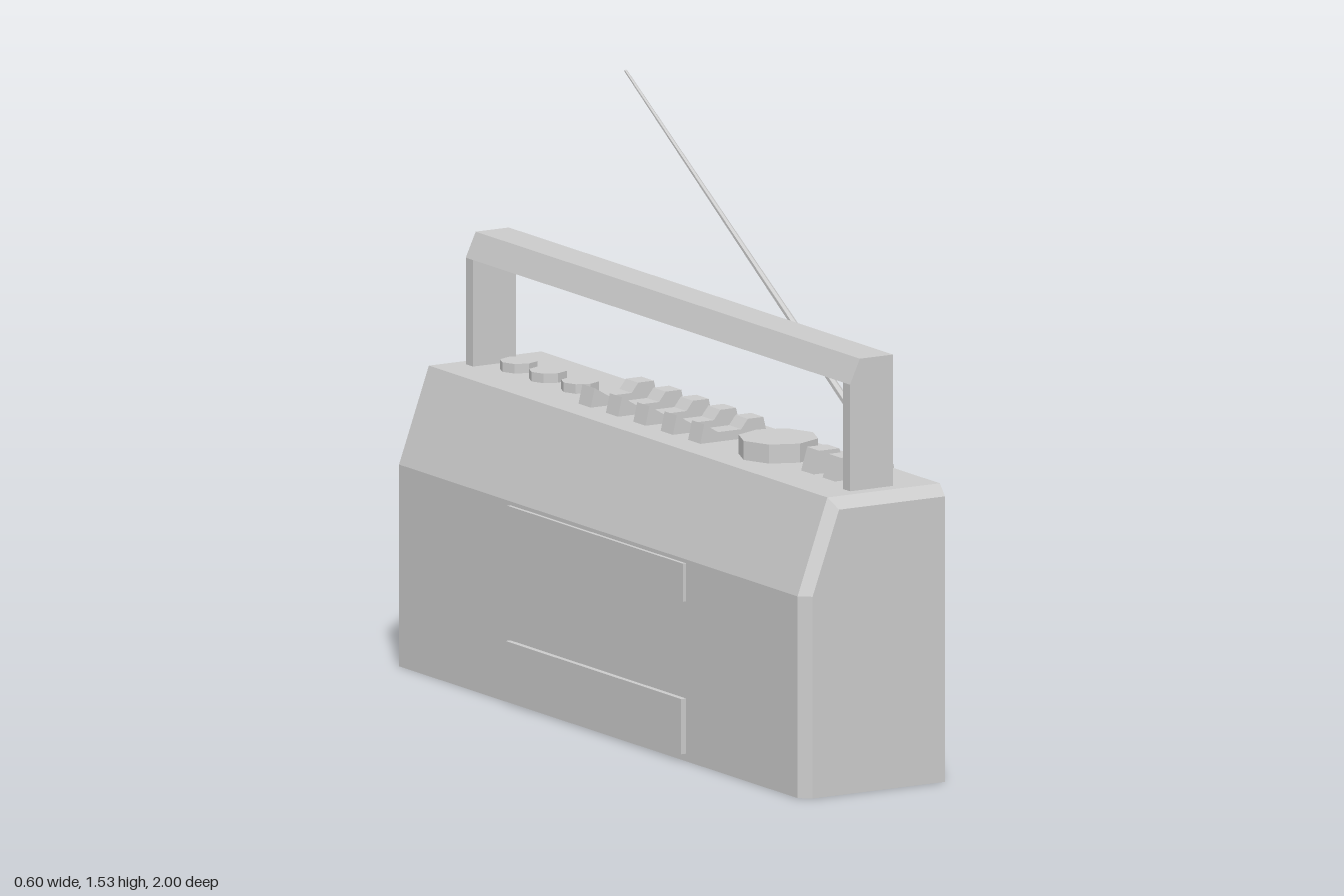
import * as THREE from 'three';
import { ConvexGeometry } from 'three/addons/geometries/ConvexGeometry.js';

const material = new THREE.MeshStandardMaterial({ color: 0xcccccc, flatShading: true });

export function createModel() {
  const radio = new THREE.Group();
  radio.name = 'portableRadio';

  const add = (name, geometry, parent = radio) => {
    const mesh = new THREE.Mesh(geometry, material);
    mesh.name = name;
    parent.add(mesh);
    return mesh;
  };
  const toShape = (points) => new THREE.Shape(points.map(([a, b]) => new THREE.Vector2(a, b)));
  // Box given by its limits on each axis
  const box = (name, x0, x1, y0, y1, z0, z1) =>
    add(name, new THREE.BoxGeometry(x1 - x0, y1 - y0, z1 - z0))
      .position.set((x0 + x1) / 2, (y0 + y1) / 2, (z0 + z1) / 2);
  // Plate drawn in (z, y) with rectangular holes, extruded along x
  const plate = (name, outline, holes, x0, x1) => {
    const shape = toShape(outline.map(([z, y]) => [-z, y]));
    for (const [z0, z1, y0, y1] of holes)
      shape.holes.push(toShape([[-z0, y0], [-z0, y1], [-z1, y1], [-z1, y0]]));
    const g = new THREE.ExtrudeGeometry(shape, { depth: x1 - x0, bevelEnabled: false });
    add(name, g.rotateY(Math.PI / 2).translate(x0, 0, 0));
  };
  // Profile in (x, y) extruded along z
  const prism = (name, points, z0, z1) => {
    const g = new THREE.ExtrudeGeometry(toShape(points), { depth: z1 - z0, bevelEnabled: false });
    add(name, g.translate(0, 0, z0));
  };

  // Case with sloped back and bevelled ends
  const outer = [[0.08, 0], [0.08, 0.78], [-0.2, 0.78], [-0.29, 0.53], [-0.29, 0]];
  const inner = [[0.08, 0], [0.08, 0.75], [-0.18, 0.75], [-0.26, 0.53], [-0.26, 0]];
  const corners = [];
  for (const s of [-1, 1]) {
    for (const [x, y] of outer) corners.push(new THREE.Vector3(x, y, 0.975 * s));
    for (const [x, y] of inner) corners.push(new THREE.Vector3(x, y, s));
  }
  add('case', new ConvexGeometry(corners));

  // Raised rim and the recessed face with its aerial slot and tape bay
  plate('faceRim', [[1, 0], [1, 0.75], [0.975, 0.78], [-0.975, 0.78], [-1, 0.75], [-1, 0]],
    [[-0.97, 0.97, 0.037, 0.738]], 0.08, 0.14);
  plate('facePlate', [[0.97, 0.037], [0.97, 0.738], [-0.97, 0.738], [-0.97, 0.037]],
    [[-0.84, 0.85, 0.68, 0.71], [-0.285, 0.285, 0.16, 0.62]], 0.08, 0.12);
  box('tapeDoor', 0.08, 0.115, 0.19, 0.59, -0.255, 0.255);
  for (const s of [-1, 1])
    box('speakerPanel', 0.11, 0.13, 0.115, 0.66, s * 0.71 - 0.203, s * 0.71 + 0.203);

  // Back plates
  box('upperBackPlate', -0.3, -0.28, 0.42, 0.52, -0.43, 0.43);
  box('lowerBackPlate', -0.305, -0.28, 0.02, 0.165, -0.43, 0.43);

  // Carrying handle
  prism('handleBar', [[0.02, 1.06], [0.02, 1.125], [-0.08, 1.125], [-0.11, 1.06]], -0.94, 0.94);
  for (const s of [-1, 1])
    box('handlePost', -0.11, 0.02, 0.77, 1.06, s * 0.9225 - 0.0175, s * 0.9225 + 0.0175);

  // Piano keys with a raised finger end
  const key = [[-0.125, 0.775], [0.08, 0.775], [0.067, 0.83], [0.02, 0.83],
    [0, 0.805], [-0.07, 0.805], [-0.112, 0.83]];
  for (let i = 0; i < 5; i++) {
    const z = 0.2 - i * 0.134;
    prism('tapeKey', key, z - 0.03, z + 0.03);
  }

  // Small push buttons
  const button = [[-0.08, 0.775], [0.02, 0.775], [0, 0.84], [-0.06, 0.84]];
  for (const z of [0.785, 0.68]) prism('pushButton', button, z - 0.03, z + 0.03);

  // Tuning dial and the three small knobs
  add('tuningDial', new THREE.CylinderGeometry(0.105, 0.105, 0.06, 8).rotateY(Math.PI / 2))
    .position.set(-0.03, 0.8, 0.46);
  for (const z of [-0.51, -0.667, -0.81])
    add('smallKnob', new THREE.CylinderGeometry(0.05, 0.05, 0.035, 8).rotateY(Math.PI / 2))
      .position.set(-0.03, 0.7875, z);

  // Jointed aerial
  const aerial = new THREE.Group();
  aerial.name = 'aerial';
  radio.add(aerial);
  const rod = (name, from, to, r0, r1) => {
    const a = new THREE.Vector3(...from), b = new THREE.Vector3(...to);
    const mesh = add(name, new THREE.CylinderGeometry(r1, r0, a.distanceTo(b), 6), aerial);
    mesh.position.lerpVectors(a, b, 0.5);
    mesh.quaternion.setFromUnitVectors(new THREE.Vector3(0, 1, 0), b.sub(a).normalize());
  };
  const bend = [0.185, 0.762, 0.655];
  rod('aerialBase', [0.09, 0.685, 0.83], bend, 0.012, 0.012);
  rod('aerialRod', bend, [0.293, 1.53, -0.81], 0.012, 0.004);

  return radio;
}
